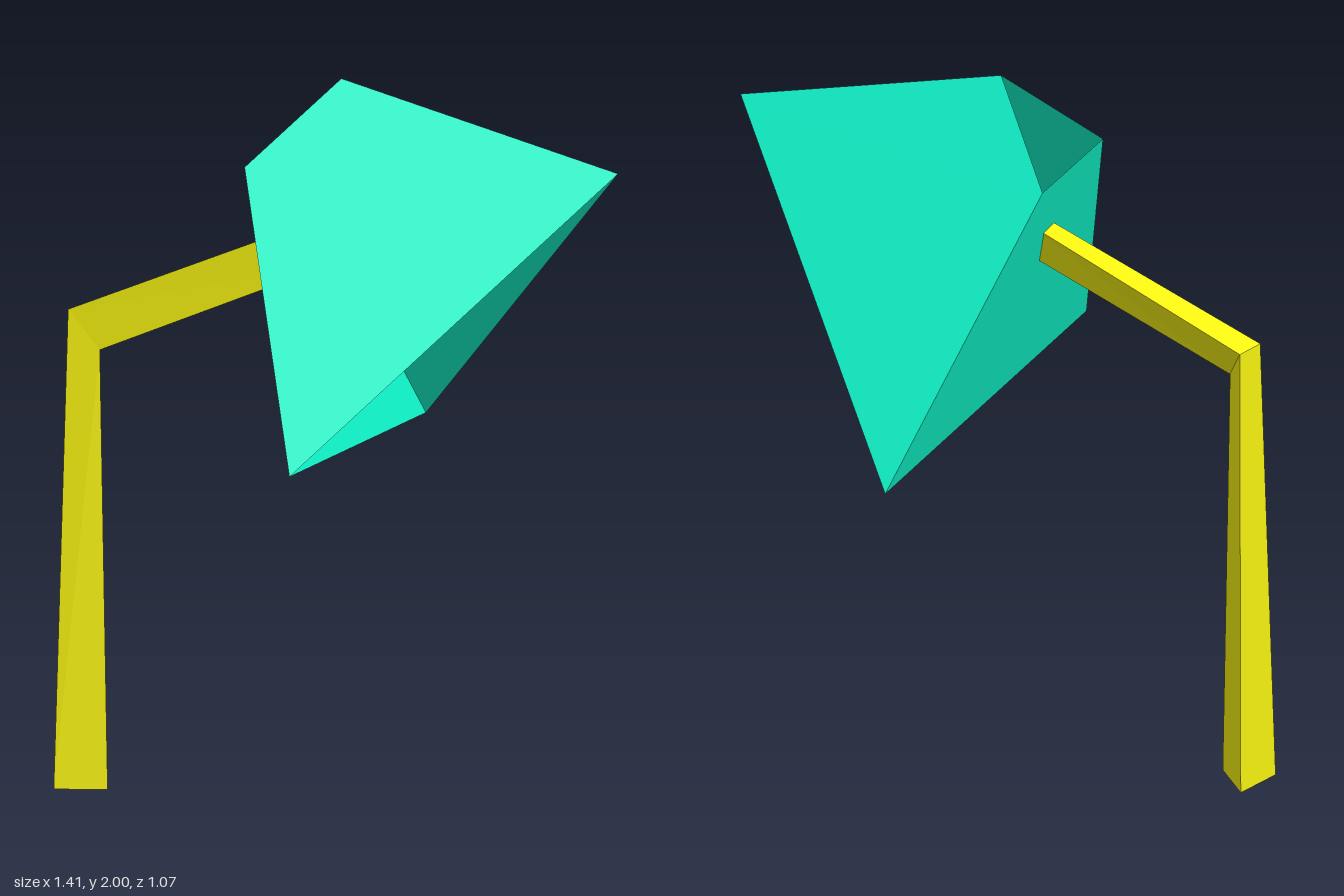
import * as THREE from 'three';

// Skin a series of equal-sized rings of points with flat faces, optionally capping the ends.
function loft(rings, capped) {
  const pos = [];
  const tri = (a, b, c) => pos.push(...a, ...b, ...c);
  const n = rings[0].length;
  for (let r = 0; r < rings.length - 1; r++) {
    const low = rings[r], high = rings[r + 1];
    for (let i = 0; i < n; i++) {
      const j = (i + 1) % n;
      tri(low[i], low[j], high[j]);
      tri(low[i], high[j], high[i]);
    }
  }
  if (capped) {
    const first = rings[0], last = rings[rings.length - 1];
    for (let i = 1; i < n - 1; i++) {
      tri(first[0], first[i + 1], first[i]);
      tri(last[0], last[i], last[i + 1]);
    }
  }
  const geometry = new THREE.BufferGeometry();
  geometry.setAttribute('position', new THREE.Float32BufferAttribute(pos, 3));
  geometry.computeVertexNormals();
  return geometry;
}

function part(name, geometry, color, side = THREE.FrontSide) {
  const material = new THREE.MeshStandardMaterial({ color, side, flatShading: true });
  const mesh = new THREE.Mesh(geometry, material);
  mesh.name = name;
  return mesh;
}

export function createModel() {
  const lamp = new THREE.Group();
  lamp.name = 'lamp';

  // Three-sided tapered stand: foot, mitred elbow, arm tip inside the shade
  const foot = [[-0.705, 0, -0.385], [-0.563, 0, -0.343], [-0.6, 0, -0.487]];
  const elbow = [[-0.662, 1.33, -0.395], [-0.582, 1.22, -0.355], [-0.6, 1.33, -0.457]];
  const tip = [[-0.06, 1.6, -0.055], [-0.005, 1.485, -0.03], [-0.02, 1.6, -0.102]];
  const yellow = 0xf5f110;
  lamp.add(part('post', loft([foot, elbow], true), yellow));
  lamp.add(part('arm', loft([elbow, tip], true), yellow));

  // Three-sided shade, a thin sheet open at both ends
  const neck = [[-0.265, 1.77, 0.02], [-0.07, 1.77, -0.298], [0.02, 2, -0.025]];
  const mouth = [[-0.265, 0.985, 0.537], [0.385, 0.985, -0.537], [0.703, 1.77, 0.383]];
  lamp.add(part('shade', loft([neck, mouth], false), 0x10f8cc, THREE.DoubleSide));

  return lamp;
}
